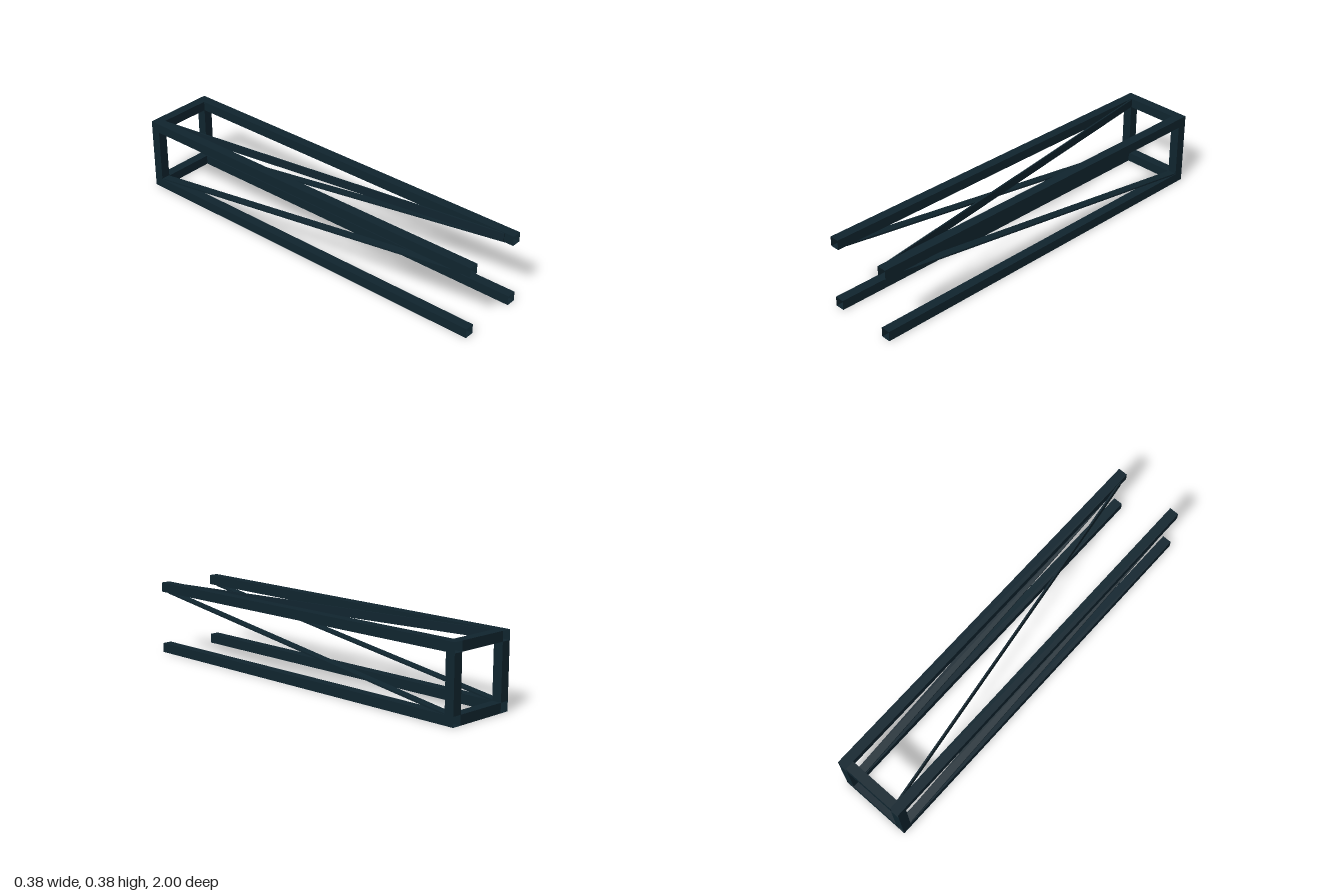
import * as THREE from 'three';

const BAR = 0.049;          // bar thickness
const HALF = 0.1875 - BAR / 2; // bar centre to axis
const MID = 0.1875;         // height of the axis
const INNER = HALF - BAR / 2;

export function createModel() {
  const group = new THREE.Group();
  const steel = new THREE.MeshStandardMaterial({ color: 0x10252f, flatShading: true, side: THREE.DoubleSide });
  steel.name = 'dark steel';

  // Square hollow bar along z, open at both ends
  const hollowBar = (length) => {
    const r = BAR / Math.SQRT2;
    return new THREE.CylinderGeometry(r, r, length, 4, 1, true, Math.PI / 4).rotateX(Math.PI / 2);
  };
  const add = (name, geometry, x, y, z) => {
    const mesh = new THREE.Mesh(geometry, steel);
    mesh.name = name;
    mesh.position.set(x, y, z);
    group.add(mesh);
    return mesh;
  };

  // Four long rails
  for (const sx of [-1, 1])
    for (const sy of [-1, 1])
      add('rail', hollowBar(2), sx * HALF, MID + sy * HALF, 0);

  // Square frame at the back
  const backZ = -1 + BAR / 2;
  for (const s of [-1, 1]) {
    add('backCrossbar', hollowBar(2 * INNER).rotateY(Math.PI / 2), 0, MID + s * HALF, backZ);
    add('backPost', hollowBar(2 * INNER).rotateX(Math.PI / 2), s * HALF, MID, backZ);
  }

  // Thin flat diagonal braces on the top and both sides
  const reach = 0.95, width = 0.042, thin = 0.008;
  const length = 2 * Math.hypot(INNER, reach);
  const angle = Math.atan2(INNER, reach);
  add('topBrace', new THREE.BoxGeometry(thin, width, length), 0, MID + HALF, 0).rotation.y = angle;
  for (const s of [-1, 1])
    add('sideBrace', new THREE.BoxGeometry(width, thin, length), s * HALF, MID, 0).rotation.x = -angle;

  return group;
}
